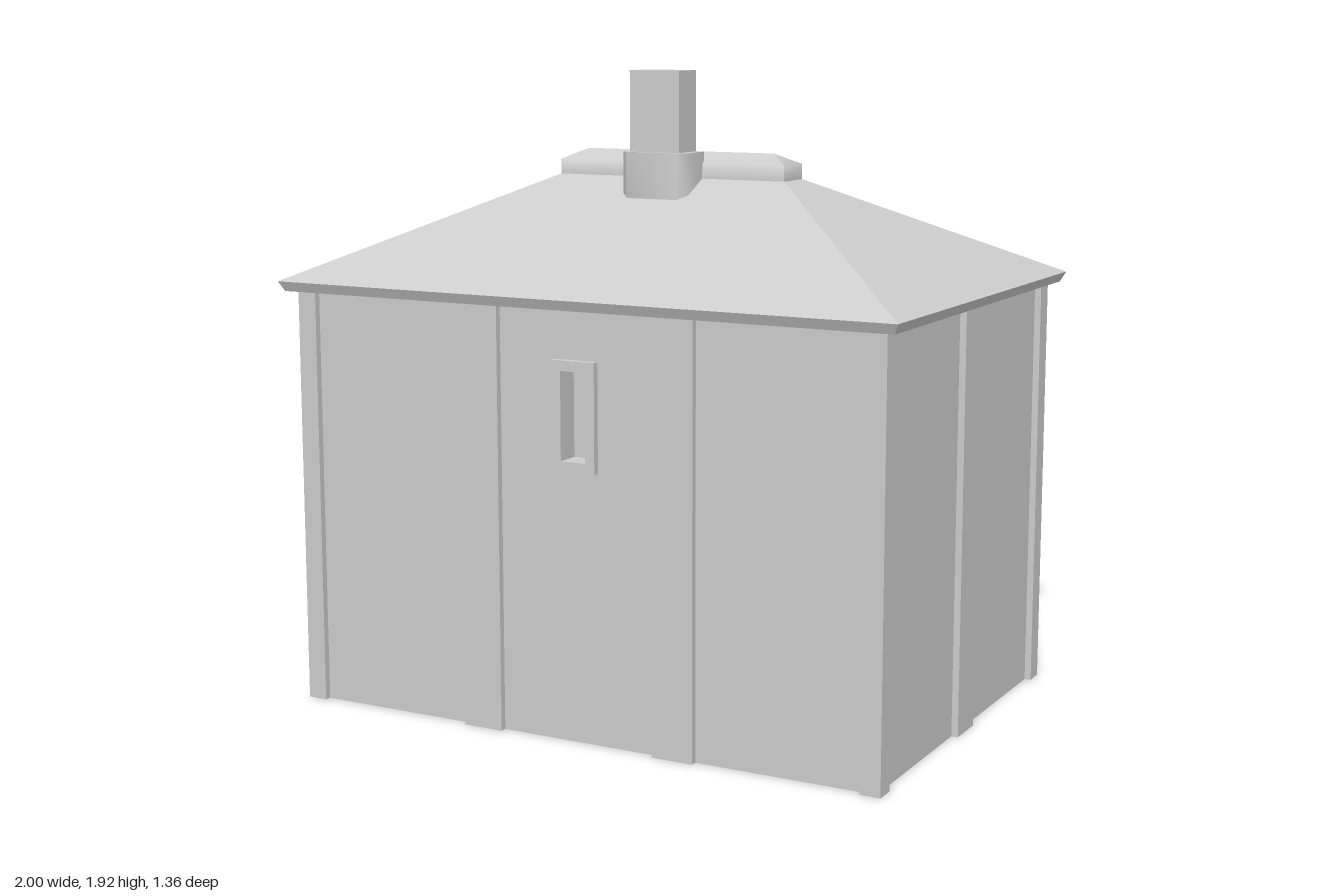
import * as THREE from 'three';
import { toCreasedNormals } from 'three/addons/utils/BufferGeometryUtils.js';

const grey = new THREE.MeshStandardMaterial({ color: 0xcccccc });
grey.name = 'plain grey';

const WALL = { x: 0.935, z: 0.62, thick: 0.022, top: 1.28 };
const OUT = { x: 0.955, z: 0.64 };

export function createModel() {
  const model = new THREE.Group();
  model.name = 'hippedRoofHouse';

  const add = (name, geometry, parent = model) => {
    const mesh = new THREE.Mesh(geometry, grey);
    mesh.name = name;
    parent.add(mesh);
    return mesh;
  };
  // box given by its limits
  const block = (name, x0, x1, y0, y1, z0, z1, parent) =>
    add(name, new THREE.BoxGeometry(x1 - x0, y1 - y0, z1 - z0), parent)
      .position.set((x0 + x1) / 2, (y0 + y1) / 2, (z0 + z1) / 2);
  const rect = (Type, x0, x1, y0, y1) => {
    const p = new Type();
    p.moveTo(x0, y0); p.lineTo(x1, y0); p.lineTo(x1, y1); p.lineTo(x0, y1); p.closePath();
    return p;
  };
  const extrude = (shape, depth) =>
    new THREE.ExtrudeGeometry(shape, { depth, bevelEnabled: false, curveSegments: 16 });

  // walls: a thin hollow shell, open at the bottom, with a window slot in front
  const walls = new THREE.Group();
  walls.name = 'walls';
  model.add(walls);
  const t = WALL.thick;
  const slot = [-0.04, 0.04, 0.83, 1.09];
  const front = rect(THREE.Shape, -WALL.x, WALL.x, 0, WALL.top);
  front.holes.push(rect(THREE.Path, ...slot));
  add('frontWall', extrude(front, t), walls).position.z = WALL.z - t;
  block('backWall', -WALL.x, WALL.x, 0, WALL.top, -WALL.z, -WALL.z + t, walls);
  for (const s of [-1, 1]) {
    const a = s * WALL.x, b = s * (WALL.x - t);
    block(s > 0 ? 'leftWall' : 'rightWall', Math.min(a, b), Math.max(a, b), 0, WALL.top, -WALL.z + t, WALL.z - t, walls);
  }

  // corner posts and flat pilasters, standing proud inside and out
  const posts = new THREE.Group();
  posts.name = 'posts';
  model.add(posts);
  const post = (name, x, z, w, d) =>
    block(name, x - w / 2, x + w / 2, 0, WALL.top, z - d / 2, z + d / 2, posts);
  const deep = 0.055;
  for (const s of [-1, 1]) {
    for (const e of [-1, 1]) {
      post('cornerPost', s * (OUT.x - 0.031), e * (OUT.z - 0.031), 0.062, 0.062);
      post('pilaster', s * 0.317, e * (OUT.z - deep / 2), 0.13, deep);
    }
    post('sidePilaster', s * (OUT.x - deep / 2), 0, deep, 0.126);
  }

  // hipped roof: stacked rectangles [half x, y, half z] joined by flat faces
  const levels = [[0.985, 1.265, 0.665], [1, 1.295, 0.68], [0.38, 1.6, 0.062]];
  const pos = [];
  const corners = ([x, y, z]) => [[x, y, z], [x, y, -z], [-x, y, -z], [-x, y, z]];
  const quad = (a, b, c, d) => pos.push(...a, ...b, ...c, ...a, ...c, ...d);
  for (let i = 0; i < levels.length - 1; i++) {
    const lo = corners(levels[i]), hi = corners(levels[i + 1]);
    for (let k = 0; k < 4; k++) quad(lo[k], lo[(k + 1) % 4], hi[(k + 1) % 4], hi[k]);
  }
  quad(...corners(levels[0]).reverse());
  quad(...corners(levels[2]));
  const roof = new THREE.BufferGeometry();
  roof.setAttribute('position', new THREE.Float32BufferAttribute(pos, 3));
  roof.computeVertexNormals();
  add('roof', roof);

  // ridge cap: each side rounds softly from its upright foot into its slope
  const cap = [], capIndex = [];
  const foot = corners([0.38, 1.6, 0.062]), shoulder = corners([0.38, 1.645, 0.062]);
  const peak = corners([0.317, 1.677, 0]);
  for (let k = 0; k < 4; k++) {
    const n = (k + 1) % 4, o = k * 6;
    for (const v of [foot[k], foot[n], shoulder[n], shoulder[k], peak[n], peak[k]]) cap.push(...v);
    capIndex.push(o, o + 1, o + 2, o, o + 2, o + 3, o + 3, o + 2, o + 4);
    if (k % 2) capIndex.push(o + 3, o + 4, o + 5);
  }
  const capGeometry = new THREE.BufferGeometry();
  capGeometry.setAttribute('position', new THREE.Float32BufferAttribute(cap, 3));
  capGeometry.setIndex(capIndex);
  capGeometry.computeVertexNormals();
  add('ridgeCap', capGeometry);

  // chimney stack on a base with chamfered front corners
  const chimney = new THREE.Group();
  chimney.name = 'chimney';
  model.add(chimney);
  block('chimneyStack', -0.083, 0.083, 1.56, 1.92, 0.05, 0.157, chimney);
  const plan = new THREE.Shape([[-0.11, -0.05], [-0.11, -0.15], [-0.083, -0.177],
    [0.083, -0.177], [0.11, -0.15], [0.11, -0.05]].map(p => new THREE.Vector2(...p)));
  const base = extrude(plan, 0.14).rotateX(-Math.PI / 2);
  add('chimneyBase', toCreasedNormals(base, 0.9), chimney).position.y = 1.54;

  // slot window with a deep raised frame
  const frame = rect(THREE.Shape, -0.07, 0.07, 0.8, 1.12);
  frame.holes.push(rect(THREE.Path, ...slot));
  add('windowFrame', extrude(frame, 0.075)).position.z = 0.565;

  // raised arch moulding on the back wall
  const R = 0.195, r = 0.12, spring = 1.005, sill = 0.63;
  const arch = new THREE.Shape();
  arch.moveTo(R, sill);
  arch.lineTo(R, spring);
  arch.absarc(0, spring, R, 0, Math.PI, false);
  arch.lineTo(-R, sill);
  arch.lineTo(-r, sill);
  arch.lineTo(-r, spring);
  arch.absarc(0, spring, r, Math.PI, 0, true);
  arch.lineTo(r, sill);
  arch.closePath();
  add('backArch', toCreasedNormals(extrude(arch, 0.03), 0.6)).position.z = -OUT.z;

  return model;
}
